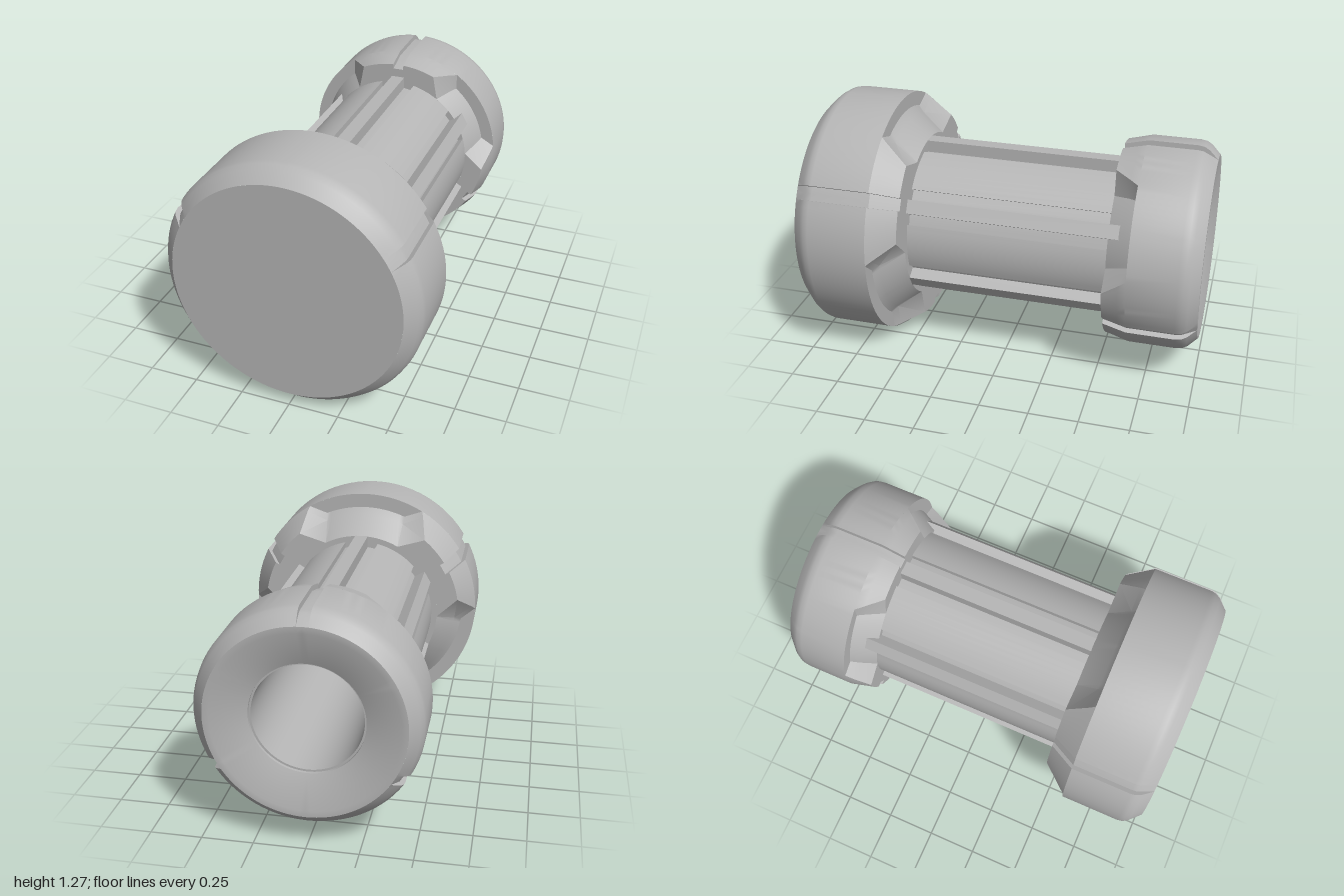
import * as THREE from 'three';
import { toCreasedNormals } from 'three/addons/utils/BufferGeometryUtils.js';

const RAD = Math.PI / 180;
const AXIS_Y = 0.635;
const GROOVE = 3.3; // half angle of a groove, degrees

// A cap is one 60 degree slice (tooth centre to recess centre), mirrored and repeated three times.
// Every patch is a list of rows [[angle, r, z], [angle, r, z]] swept from the first point to the second.
function capGeometry({ baseAngle, flip, face, outer, groove, tooth, floor, inner }) {
  const pos = [];
  const patch = (rows, n) => {
    for (let k = 0; k < 3; k++) {
      for (const side of [1, -1]) {
        const point = (row, u) => {
          const [t, r, z] = row[0].map((v, i) => v + (row[1][i] - v) * u);
          const a = (baseAngle + 120 * k + side * t) * RAD;
          return [r * Math.cos(a), r * Math.sin(a), z];
        };
        const reversed = (side < 0) !== flip;
        for (let i = 0; i < rows.length - 1; i++) {
          for (let j = 0; j < n; j++) {
            const a = point(rows[i], j / n), b = point(rows[i], (j + 1) / n);
            const c = point(rows[i + 1], j / n), d = point(rows[i + 1], (j + 1) / n);
            const quad = reversed ? [a, b, c, b, d, c] : [a, c, b, b, c, d];
            quad.forEach((p) => pos.push(...p));
          }
        }
      }
    }
  };
  const arc = (from, to) => ([r, z]) => [[from, r, z], [to, r, z]];
  const band = outer.slice(0, -1);
  const [, endR, endZ] = tooth[tooth.length - 1];
  const [floorT, floorR] = floor[floor.length - 1];

  patch(face.map(arc(0, 60)), 18); // end face
  patch(band.map(arc(GROOVE, 60)), 18); // rim
  patch(groove.map(arc(0, GROOVE)), 1); // groove floor
  patch(groove.map(([r, z], i) => [[GROOVE, r, z], [GROOVE, ...outer[i]]]), 1); // groove wall
  patch(tooth.map(([t, r, z]) => [[GROOVE, r, z], [t, r, z]]), 10); // tooth
  patch(tooth.map((p, i) => [p, floor[i]]), 1); // recess wall
  patch(floor.map(([t, r, z]) => [[t, r, z], [60, r, z]]), 10); // recess floor
  patch([tooth[0], floor[0]].map(([t, r, z]) => [[t, r, z], [60, r, z]]), 10); // recess end
  const grooveEnd = groove[groove.length - 1][0];
  patch([arc(0, GROOVE)([grooveEnd, endZ]), arc(0, GROOVE)([floorR, endZ])], 1);
  patch([
    [[GROOVE, endR, endZ], [tooth[tooth.length - 1][0], endR, endZ]],
    [[GROOVE, floorR, endZ], [floorT, floorR, endZ]],
  ], 10); // tooth end
  patch([arc(0, 60)([floorR, endZ]), arc(0, 60)([inner, endZ])], 18);

  const g = new THREE.BufferGeometry();
  g.setAttribute('position', new THREE.Float32BufferAttribute(pos, 3));
  return toCreasedNormals(g, 30 * RAD);
}

// Round shaft section with six channels cut into it, hollow inside
function shaftGeometry() {
  const R = 0.4, floorR = 0.37, half = 0.09;
  const aOut = Math.asin(half / R), aIn = Math.asin(half / floorR);
  const pts = [];
  const add = (r, a) => pts.push(new THREE.Vector2(r * Math.cos(a), r * Math.sin(a)));
  for (let k = 0; k < 6; k++) {
    const mid = (30 + 60 * k) * RAD;
    for (let i = 0; i <= 4; i++) add(floorR, mid + aIn * (i / 2 - 1));
    const span = 60 * RAD - 2 * aOut;
    for (let i = 0; i <= 8; i++) add(R, mid + aOut + span * i / 8);
  }
  const shape = new THREE.Shape(pts);
  shape.holes.push(new THREE.Path().absarc(0, 0, 0.3, 0, Math.PI * 2, true));
  const g = new THREE.ExtrudeGeometry(shape, { depth: 1.03, bevelEnabled: false, curveSegments: 32 });
  g.translate(0, 0, -0.55);
  return toCreasedNormals(g, 30 * RAD);
}

export function createModel() {
  const grey = new THREE.MeshStandardMaterial({ color: 0xb6b6b6 });
  grey.name = 'grey';
  const model = new THREE.Group();
  model.name = 'cappedCylinder';
  const body = new THREE.Group();
  body.name = 'body';
  body.position.y = AXIS_Y;
  model.add(body);
  const add = (name, geometry) => {
    const mesh = new THREE.Mesh(geometry, grey);
    mesh.name = name;
    body.add(mesh);
    return mesh;
  };

  // Large closed cap
  add('frontCap', capGeometry({
    baseAngle: 30, flip: false, inner: 0.36,
    face: [[0, 1], [0.565, 1]],
    outer: [[0.565, 1], [0.615, 0.95], [0.63, 0.925], [0.635, 0.9], [0.635, 0.6], [0.55, 0.47]],
    groove: [[0.565, 1], [0.595, 0.945], [0.607, 0.92], [0.61, 0.9], [0.61, 0.6], [0.525, 0.47]],
    tooth: [[30, 0.635, 0.6], [28.2, 0.619, 0.575], [20.5, 0.55, 0.47]],
    floor: [[37, 0.56, 0.6], [36, 0.525, 0.575], [32, 0.43, 0.47]],
  }));

  // Smaller cap with a dished opening and a deep bore
  add('backCap', capGeometry({
    baseAngle: 90, flip: true, inner: 0.36,
    face: [[0, 0.3], [0.26, 0.3], [0.26, -0.925], [0.27, -0.925], [0.27, -0.94], [0.434, -1], [0.465, -1]],
    outer: [[0.465, -1], [0.51, -0.955], [0.525, -0.93], [0.53, -0.9], [0.53, -0.66], [0.5, -0.54]],
    groove: [[0.465, -1], [0.49, -0.95], [0.502, -0.925], [0.505, -0.9], [0.505, -0.66], [0.475, -0.54]],
    tooth: [[34.5, 0.53, -0.66], [31, 0.52, -0.62], [23.6, 0.5, -0.54]],
    floor: [[40, 0.465, -0.66], [38, 0.445, -0.62], [34, 0.4, -0.54]],
  }));

  add('shaft', shaftGeometry());

  // Ribs alternate between reaching into the front and the back recesses
  for (let k = 0; k < 6; k++) {
    const [z0, z1] = k % 2 ? [-0.55, 0.49] : [-0.61, 0.48];
    const g = new THREE.BoxGeometry(0.08, 0.07, z1 - z0);
    g.translate(0.39, 0, (z0 + z1) / 2);
    add('rib', g).rotation.z = (30 + 60 * k) * RAD;
  }
  return model;
}
